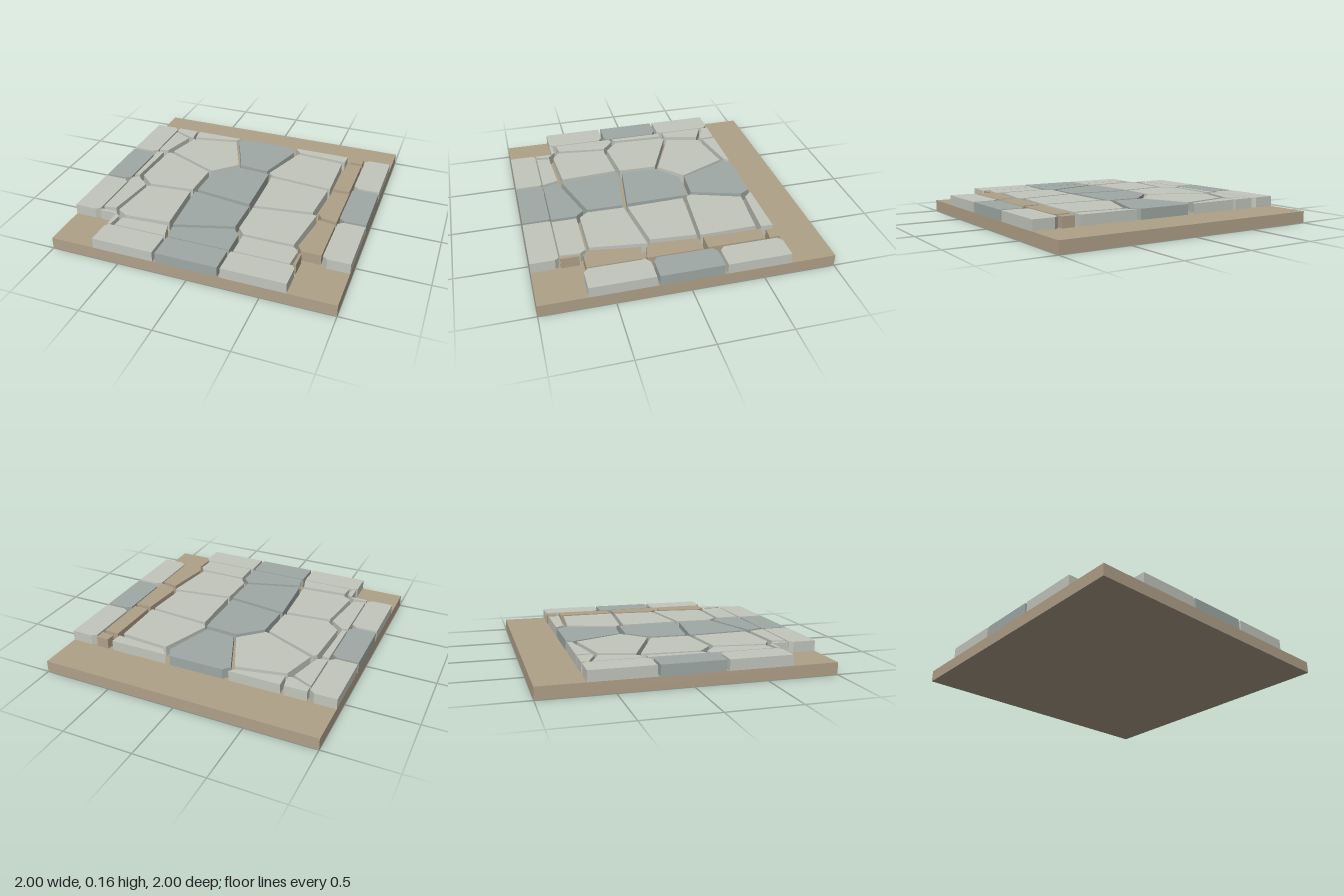
import * as THREE from 'three';

const BASE = 0.085, TOP = 0.16;
const mat = (color) => new THREE.MeshStandardMaterial({ color, flatShading: true });
const sand = mat(0xb0a189), pale = mat(0xc2c6bc), slate = mat(0x9fa9a5);

// A flat stone extruded from its x, z outline
function stone(group, name, material, outline) {
  const shape = new THREE.Shape(outline.map(([x, z]) => new THREE.Vector2(x, z)));
  const geo = new THREE.ExtrudeGeometry(shape, { depth: TOP - BASE, bevelEnabled: false });
  geo.rotateX(Math.PI / 2).translate(0, TOP, 0);
  const mesh = new THREE.Mesh(geo, material);
  mesh.name = name;
  group.add(mesh);
}

// Irregular paving, one row at a time from back to front
const backRow = [
  [pale, [[-.8, -.68], [-.64, -.68], [-.63, -.58], [-.655, -.565], [-.8, -.63]]],
  [pale, [[-.615, -.68], [-.245, -.68], [-.27, -.645], [-.61, -.575]]],
  [slate, [[-.2, -.68], [.2, -.68], [.24, -.605], [.13, -.25], [-.09, -.265], [-.24, -.63]]],
  [pale, [[.235, -.68], [.665, -.68], [.66, -.595], [.285, -.62]]],
  [sand, [[.705, -.68], [.795, -.68], [.795, -.605], [.7, -.615]]],
];
const upperRow = [
  [pale, [[-.8, -.61], [-.66, -.54], [-.73, -.29], [-.75, -.28], [-.8, -.28]]],
  [pale, [[-.26, -.61], [-.11, -.265], [-.275, -.105], [-.68, -.29], [-.61, -.54]]],
  [pale, [[.28, -.59], [.645, -.56], [.65, -.16], [.19, -.2], [.155, -.23]]],
  [sand, [[.685, -.58], [.795, -.575], [.795, -.17], [.68, -.17]]],
];
const middleRow = [
  [pale, [[-.8, -.245], [-.75, -.245], [-.765, .14], [-.8, .155]]],
  [pale, [[-.695, -.265], [-.29, -.085], [-.3, .195], [-.63, .23], [-.735, .135], [-.715, -.24]]],
  [slate, [[-.095, -.225], [.155, -.21], [.16, .24], [-.265, .185], [-.255, -.08]]],
  [pale, [[.19, -.17], [.64, -.135], [.615, .185], [.2, .245]]],
  [sand, [[.68, -.135], [.8, -.135], [.8, .25], [.69, .23], [.655, .185]]],
];
const lowerRow = [
  [pale, [[-.8, .18], [-.755, .17], [-.66, .25], [-.71, .61], [-.8, .625]]],
  [pale, [[-.635, .26], [-.305, .23], [-.28, .645], [-.61, .67], [-.68, .625]]],
  [slate, [[-.275, .215], [.17, .275], [.165, .535], [-.245, .66]]],
  [pale, [[.2, .275], [.65, .21], [.6, .6], [.245, .6], [.195, .54]]],
  [sand, [[.68, .26], [.8, .285], [.8, .65], [.665, .65], [.63, .6]]],
];
const frontRow = [
  [pale, [[-.8, .675], [-.8, .655], [-.7, .65], [-.64, .7], [-.65, .8], [-.675, .8], [-.675, .675]]],
  [pale, [[-.61, .705], [-.275, .685], [-.24, .8], [-.62, .8]]],
  [slate, [[-.24, .69], [.17, .565], [.22, .62], [.22, .8], [-.205, .8]]],
  [pale, [[.25, .625], [.615, .625], [.645, .665], [.635, .8], [.25, .8]]],
  [sand, [[.66, .675], [.675, .675], [.675, .8], [.655, .8]]],
];

export function createModel() {
  const model = new THREE.Group();
  model.name = 'pavingTile';

  // Ground slab
  const slab = new THREE.Mesh(new THREE.BoxGeometry(2, BASE, 2).translate(0, BASE / 2, 0), sand);
  slab.name = 'groundSlab';
  model.add(slab);

  const paving = new THREE.Group();
  paving.name = 'paving';
  for (const row of [backRow, upperRow, middleRow, lowerRow, frontRow])
    for (const [material, outline] of row) stone(paving, 'pavingStone', material, outline);
  model.add(paving);

  // Border stones with clipped inner corners; a runs along the edge, d is the distance from the centre
  const border = new THREE.Group();
  border.name = 'border';
  const spans = [[-.68, -.24, pale], [-.22, .215, slate], [.235, .675, pale]];
  const edges = {
    leftCurb: (a, d) => [d, a],
    rightCurb: (a, d) => [-d, a],
    frontCurb: (a, d) => [a, d],
  };
  for (const [name, place] of Object.entries(edges))
    for (const [a0, a1, material] of spans) {
      // front curb stones are clipped only at the two outer ends
      const front = name === 'frontCurb';
      const c0 = front && a0 > -.5 ? .008 : front ? .025 : .035;
      const c1 = front && a1 < .5 ? .008 : front ? .025 : .035;
      const outline = [[a0, 1], [a0, .81 + c0], [a0 + c0 * .8, .81], [a1 - c1 * .8, .81], [a1, .81 + c1], [a1, 1]];
      stone(border, name, material, outline.map(([a, d]) => place(a, d)));
    }
  model.add(border);
  return model;
}
